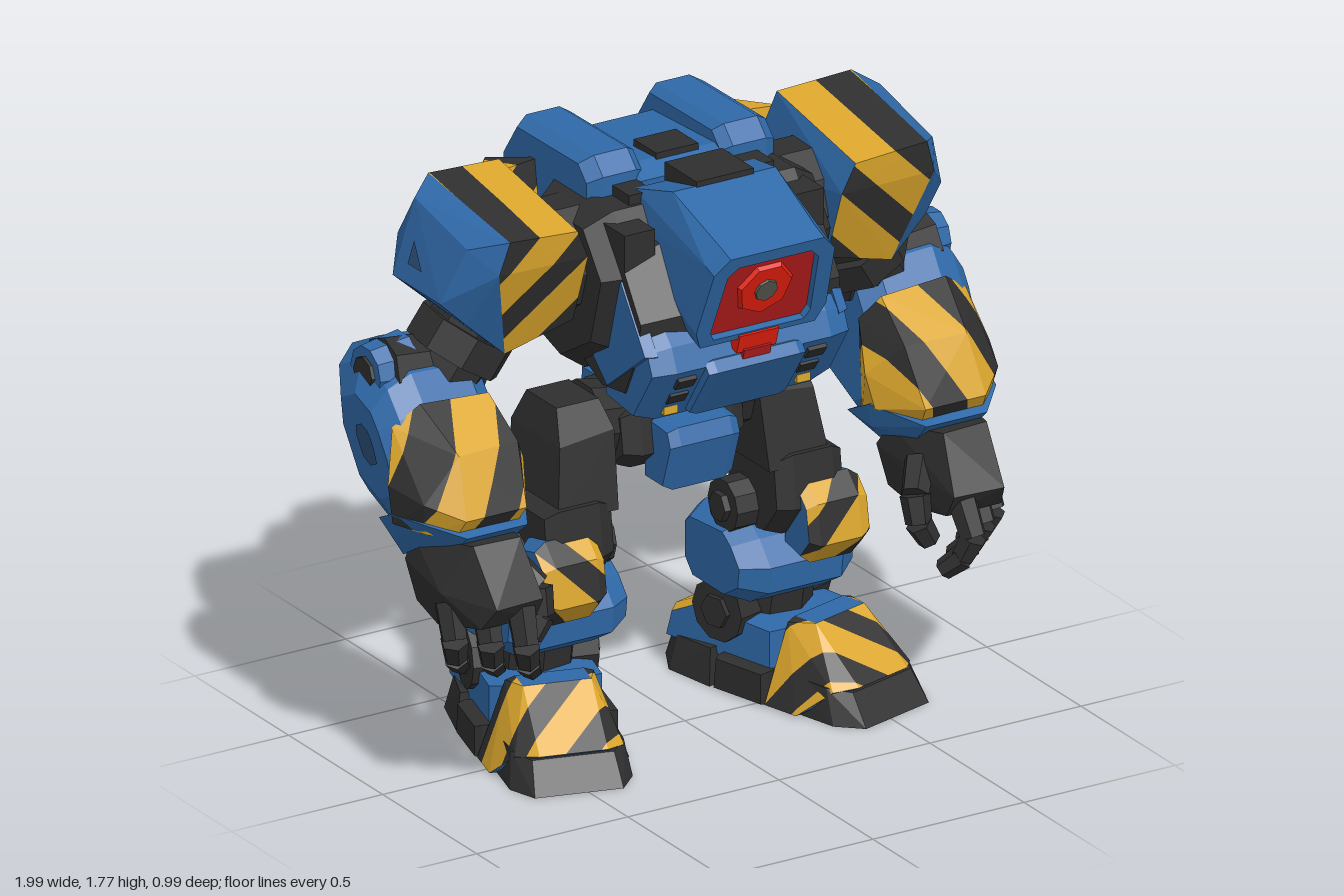
import * as THREE from 'three';
import { ConvexGeometry } from 'three/addons/geometries/ConvexGeometry.js';

const V = (x, y, z) => new THREE.Vector3(x, y, z);
const mat = (name, color) => Object.assign(new THREE.MeshStandardMaterial({ color }), { name });

// Hull of a [z, y] profile repeated at [x, scale] stations, scaled about its centre
function slab(profile, stations, s = 1, tilt = 0) {
  const n = profile.length;
  const cz = profile.reduce((a, p) => a + p[0], 0) / n, cy = profile.reduce((a, p) => a + p[1], 0) / n;
  const pts = [];
  for (const [x, k] of stations) for (const [z, y] of profile) {
    const dy = (y - cy) * k;
    pts.push(V(s * (x + tilt * dy), cy + dy, cz + (z - cz) * k));
  }
  return new ConvexGeometry(pts);
}
const wide = (w, e, k) => [[-w, k], [-w + e, 1], [w - e, 1], [w, k]];
const both = (pts) => new ConvexGeometry([-1, 1].flatMap((k) => pts.map(([x, y, z]) => V(k * x, y, z))));

function flat(geo) {
  const g = geo.toNonIndexed();
  g.computeVertexNormals();
  return g;
}

// Faceted rod between two points
function rod(a, b, r1, r2 = r1, sides = 8) {
  const d = b.clone().sub(a);
  const g = new THREE.CylinderGeometry(r2, r1, d.length(), sides);
  g.applyQuaternion(new THREE.Quaternion().setFromUnitVectors(V(0, 1, 0), d.normalize()));
  const m = a.clone().add(b).multiplyScalar(0.5);
  return flat(g.translate(m.x, m.y, m.z));
}

const tris = (geo) => {
  const p = geo.attributes.position, out = [];
  for (let i = 0; i < p.count; i += 3) out.push([0, 1, 2].map((j) => V().fromBufferAttribute(p, i + j)));
  return out;
};
const normalOf = ([a, b, c]) => b.clone().sub(a).cross(c.clone().sub(a)).normalize();

// Keep the part of a polygon where f >= 0
function clip(poly, f) {
  const out = [];
  poly.forEach((a, i) => {
    const b = poly[(i + 1) % poly.length], fa = f(a), fb = f(b);
    if (fa >= 0) out.push(a);
    if (fa * fb < 0) out.push(a.clone().lerp(b, fa / (fa - fb)));
  });
  return out;
}

// Cut chosen faces into alternating hazard bands; groups are base, wide band, narrow band
function hazard(geo, test, dir, period, phase = 0) {
  const sets = [[], [], []];
  for (const t of tris(geo)) {
    if (!test(normalOf(t))) { sets[0].push(...t); continue; }
    const f = (p) => p.dot(dir) / period + phase;
    const v = t.map(f);
    for (let k = Math.floor(Math.min(...v)); k <= Math.max(...v); k++) {
      [[k, k + 0.56], [k + 0.56, k + 1]].forEach(([lo, hi], band) => {
        const poly = clip(clip(t, (p) => f(p) - lo), (p) => hi - f(p));
        for (let i = 2; i < poly.length; i++) sets[1 + band].push(poly[0], poly[i - 1], poly[i]);
      });
    }
  }
  const g = new THREE.BufferGeometry().setFromPoints(sets.flat());
  let start = 0;
  sets.forEach((q, i) => { g.addGroup(start, q.length, i); start += q.length; });
  g.computeVertexNormals();
  return g;
}

// Inset copy of the hull face that best faces dir, lifted slightly
function panel(geo, dir, k) {
  const all = tris(geo), d = dir.clone().normalize();
  const n = all.map(normalOf).reduce((a, b) => (b.dot(d) > a.dot(d) ? b : a));
  const pts = all.filter((t) => normalOf(t).dot(n) > 0.999).flat();
  const c = pts.reduce((a, p) => a.add(p), V(0, 0, 0)).divideScalar(pts.length);
  const g = new THREE.BufferGeometry().setFromPoints(
    pts.map((p) => p.clone().lerp(c, 1 - k).addScaledVector(n, 0.004)));
  g.computeVertexNormals();
  return g;
}

export function createModel() {
  const blue = mat('blue armour', 0x2f69a8), yellow = mat('hazard yellow', 0xdba62c);
  const black = mat('black metal', 0x2f2f2f), navy = mat('dark blue patch', 0x2b4e75);
  const grey = mat('worn grey', 0x57584f), red = mat('bright red', 0xe8200f), maroon = mat('dark red glass', 0xb51d1d);
  const striped = [blue, yellow, black];
  const root = new THREE.Group();
  root.name = 'walkingRobot';
  let parent = root;
  const add = (name, geo, m) => {
    const mesh = new THREE.Mesh(geo, m);
    mesh.name = name;
    parent.add(mesh);
  };
  const box = (name, m, x, y, z, w, h, d, rx = 0) =>
    add(name, new THREE.BoxGeometry(w, h, d).rotateX(rx).translate(x, y, z), m);

  // Torso core, waist and pelvis
  add('torsoCore', slab([[0.22, 1.5], [0.15, 1.25], [-0.05, 1.13], [-0.28, 1.2], [-0.33, 1.5], [-0.2, 1.66], [0.1, 1.66]], wide(0.38, 0.08, 0.8)), black);
  add('chestCore', slab([[0.31, 1.3], [0.32, 1.4], [0.2, 1.58], [0, 1.62], [-0.05, 1.16], [0.08, 1.1], [0.22, 1.12]], wide(0.33, 0.14, 0.85)), black);
  add('waist', rod(V(0, 0.95, -0.12), V(0, 1.16, -0.08), 0.13, 0.17, 10), black);
  add('waistRing', rod(V(0, 1.02, -0.12), V(0, 1.07, -0.11), 0.17, 0.17, 12), black);
  add('pelvis', slab([[0, 0.98], [0.02, 0.85], [-0.05, 0.79], [-0.25, 0.79], [-0.29, 0.98]], wide(0.2, 0.05, 0.8)), black);
  add('pelvisFront', slab([[0.1, 0.95], [0.12, 0.9], [0.07, 0.75], [-0.04, 0.75], [-0.04, 0.96]], wide(0.115, 0.03, 0.85)), blue);
  add('pelvisRear', slab([[-0.26, 1.0], [-0.26, 0.78], [-0.34, 0.77], [-0.37, 0.83], [-0.36, 1.0]], wide(0.12, 0.03, 0.85)), blue);

  // Back shell
  const spine = slab([[0.02, 1.69], [-0.05, 1.72], [-0.38, 1.7], [-0.43, 1.62], [-0.43, 1.35], [-0.35, 1.17], [0, 1.25]], wide(0.17, 0.02, 0.95));
  add('backShell', spine, blue);
  add('backPatch', panel(spine, V(0, 0, -1), 0.45), navy);
  add('backPatchLow', panel(spine, V(0, -0.4, -1), 0.5), navy);
  box('topHatch', black, 0, 1.72, -0.1, 0.14, 0.03, 0.12);
  box('collarHatch', black, 0, 1.715, 0.13, 0.19, 0.06, 0.17);

  // Cockpit hood: frame, body and red eye, all tilted forward
  const hood = new THREE.Group();
  hood.name = 'cockpitFrame';
  hood.position.set(0, 1.47, 0.44);
  hood.rotation.x = 0.345;
  root.add(hood);
  const rim = [[-0.19, -0.16], [0.19, -0.16], [0.215, -0.1], [0.2, 0.11], [0.155, 0.16], [-0.155, 0.16], [-0.2, 0.11], [-0.215, -0.1]];
  const hole = [[-0.15, -0.14], [-0.165, -0.11], [-0.15, 0.09], [-0.12, 0.12], [0.12, 0.12], [0.15, 0.09], [0.165, -0.11], [0.15, -0.14]];
  const toV2 = (a) => a.map((p) => new THREE.Vector2(...p));
  const frame = new THREE.Shape(toV2(rim));
  frame.holes.push(new THREE.Path(toV2(hole)));
  parent = hood;
  add('windowFrame', new THREE.ExtrudeGeometry(frame, { depth: 0.05, bevelEnabled: false }).translate(0, 0, -0.05), blue);
  add('window', new THREE.ShapeGeometry(new THREE.Shape(toV2(hole))).translate(0, 0, -0.022), maroon);
  add('lensRing', rod(V(0, 0, -0.04), V(0, 0, -0.01), 0.105, 0.085, 7), red);
  add('lens', rod(V(0, 0, -0.03), V(0, 0, -0.003), 0.042, 0.036, 8), grey);
  parent = root;
  hood.updateMatrix();
  const hoodPts = rim.map(([x, y]) => V(x, y, -0.048).applyMatrix4(hood.matrix));
  for (const x of [-1, 1]) hoodPts.push(V(x * 0.17, 1.73, 0.21), V(x * 0.2, 1.69, 0.05), V(x * 0.21, 1.6, 0.04), V(x * 0.2, 1.46, 0.15));
  add('cockpitHood', new ConvexGeometry(hoodPts), blue);

  // Jaw below the cockpit
  add('jaw', slab([[0.37, 1.25], [0.34, 1.32], [0.26, 1.4], [0.08, 1.24], [0.08, 1.09], [0.25, 1.07]], wide(0.325, 0.07, 0.85)), blue);
  add('jawPlate', slab([[0.395, 1.235], [0.37, 1.265], [0.2, 1.27], [0.2, 1.09], [0.28, 1.07]], wide(0.16, 0.025, 0.92)), blue);
  box('mouthNozzle', red, 0, 1.31, 0.365, 0.13, 0.06, 0.05, 0.3);
  box('mouthNozzleTip', maroon, 0, 1.27, 0.36, 0.09, 0.04, 0.05, 0.3);
  for (const s of [-1, 1]) {
    for (const [y, z] of [[1.21, 0.345], [1.15, 0.3]]) box('jawVent', black, s * 0.215, y, z, 0.06, 0.04, 0.02, 0.65);
    box('jawLamp', yellow, s * 0.22, 1.1, 0.27, 0.045, 0.025, 0.02);
    box('chestRib', black, s * 0.28, 1.53, 0.13, 0.1, 0.2, 0.16);
    box('collarPipe', black, s * 0.2, 1.66, 0.04, 0.08, 0.06, 0.1);
    // Slanted cheek plate on the flank
    add('cheekPlate', slab([[0.34, 1.3], [0.2, 1.5], [0.14, 1.46], [0.04, 1.2], [0.12, 1.13]], [[0.3, 1], [0.335, 0.92]], s), blue);
  }

  for (const s of [1, -1]) {
    const side = s > 0 ? 'left' : 'right';
    const P = (x, y, z) => V(s * x, y, z);
    const hull = (pts) => new ConvexGeometry(pts.map((p) => P(...p)));
    const group = (name) => {
      parent = new THREE.Group();
      parent.name = side + name;
      root.add(parent);
    };

    // Side back shells
    group('Back');
    const shell = slab([[0, 1.72], [-0.05, 1.77], [-0.41, 1.765], [-0.49, 1.65], [-0.49, 1.5], [-0.43, 1.26], [-0.36, 1.2], [-0.1, 1.3], [0, 1.6]],
      [[0.13, 0.92], [0.16, 1], [0.27, 1], [0.31, 0.9]], s);
    add('sideShell', shell, blue);
    add('sideShellPatch', panel(shell, V(0, -0.2, -1), 0.5), navy);

    // Shoulder with striped pad
    group('Shoulder');
    add('shoulderJoint', rod(P(0.3, 1.48, -0.08), P(0.48, 1.48, -0.08), 0.17, 0.17, 10), black);
    const rear = hull([[0.29, 1.68, -0.3], [0.29, 1.62, -0.46], [0.29, 1.36, -0.42], [0.29, 1.34, -0.25], [0.4, 1.66, -0.42], [0.4, 1.58, -0.465],
      [0.4, 1.4, -0.43], [0.5, 1.66, -0.3], [0.5, 1.55, -0.39], [0.49, 1.38, -0.3], [0.46, 1.34, -0.25]]);
    add('shoulderRear', hazard(rear, (n) => s * n.x < 0.5 && n.y > -0.3, P(1, 1, 0.3).normalize(), 0.2, 0.25), striped);
    add('shoulderRearPatch', panel(rear, P(1, 0, -0.5), 0.5), navy);
    const pad = hull([[0.46, 1.66, 0.17], [0.42, 1.57, 0.16], [0.42, 1.35, 0.08], [0.42, 1.34, -0.24], [0.42, 1.5, -0.33], [0.46, 1.73, -0.25],
      [0.7, 1.745, -0.24], [0.69, 1.68, 0.18], [0.72, 1.58, 0.17], [0.64, 1.29, 0.07], [0.64, 1.3, -0.22], [0.69, 1.52, -0.34],
      [0.77, 1.7, -0.2], [0.77, 1.64, 0.08], [0.83, 1.47, 0.03], [0.83, 1.47, -0.22], [0.76, 1.4, 0.06], [0.77, 1.56, -0.29]]);
    add('shoulderPad', hazard(pad, (n) => s * n.x < 0.4 && s * n.x > -0.9 && n.y > -0.6, P(1, 1, 0.15).normalize(), 0.19, 0.1), striped);
    add('shoulderPatch', panel(pad, P(1, 0.2, 0), 0.3), navy);

    // Arm: blue body behind a striped gauntlet with a blue cuff
    group('Arm');
    add('upperArm', rod(P(0.56, 1.42, -0.12), P(0.76, 1.1, -0.16), 0.13, 0.11), black);
    add('upperArmRing', rod(P(0.63, 1.3, -0.14), P(0.68, 1.22, -0.15), 0.15, 0.15), black);
    add('elbowAxle', rod(P(0.6, 1.18, -0.17), P(0.9, 1.21, -0.17), 0.1), black);
    const forearm = slab([[-0.07, 1.23], [-0.23, 1.29], [-0.385, 1.21], [-0.375, 1.05], [-0.23, 0.79], [-0.03, 0.71], [0.14, 0.8], [0.08, 1.0], [0, 1.14]],
      [[0.61, 0.65], [0.67, 0.95], [0.85, 1], [0.925, 0.82], [0.975, 0.5]], s, 0.06);
    add('forearm', forearm, blue);
    add('forearmRearPanel', panel(forearm, V(0, -0.5, -1), 0.8), grey);
    add('forearmUpperPanel', panel(forearm, V(0, 0, -1), 0.6), navy);
    add('forearmOuterPatch', panel(forearm, P(1, 0, 0), 0.4), navy);
    add('forearmLowPatch', panel(forearm, P(0.6, -0.5, -0.6), 0.6), grey);
    const gauntlet = hull([[0.65, 1.15, 0], [0.87, 1.16, -0.01], [0.64, 1.05, 0.14], [0.84, 1.05, 0.15], [0.66, 0.88, 0.22], [0.86, 0.88, 0.22],
      [0.67, 0.82, 0.18], [0.87, 0.82, 0.18], [0.565, 0.95, 0.05], [0.58, 0.85, 0.08], [0.6, 0.8, -0.02], [0.6, 1.08, -0.04],
      [0.995, 0.95, 0.02], [0.95, 0.92, 0.14], [0.98, 0.83, 0.02], [0.93, 0.82, 0.12], [0.95, 1.1, -0.03]]);
    add('gauntlet', hazard(gauntlet, (n) => n.y > -0.6 && n.z > -0.4, P(1, 0.5, -0.15).normalize(), 0.23, 0.35), striped);
    add('wristCuff', hull([[0.66, 0.83, 0.225], [0.86, 0.83, 0.225], [0.67, 0.77, 0.16], [0.86, 0.77, 0.16], [0.66, 0.71, -0.02], [0.92, 0.71, -0.02],
      [0.57, 0.86, 0.06], [0.59, 0.78, 0.04], [0.6, 0.78, -0.1], [0.985, 0.86, 0.02], [0.95, 0.86, 0.13], [0.95, 0.77, 0], [0.95, 0.8, -0.1]]), blue);
    add('elbowCap', rod(P(0.82, 1.21, -0.18), P(0.945, 1.21, -0.18), 0.1, 0.08, 10), blue);
    add('elbowBolt', rod(P(0.92, 1.21, -0.18), P(0.955, 1.21, -0.18), 0.055, 0.05, 8), black);

    // Hand
    group('Hand');
    add('palm', hull([[0.65, 0.78, 0.05], [0.91, 0.78, 0.02], [0.64, 0.7, -0.01], [0.92, 0.7, -0.01], [0.66, 0.58, 0.02], [0.9, 0.58, 0.02], [0.7, 0.81, 0.25],
      [0.85, 0.81, 0.24], [0.68, 0.65, 0.34], [0.84, 0.65, 0.35], [0.68, 0.58, 0.3], [0.86, 0.58, 0.3], [0.92, 0.66, 0.18], [0.7, 0.53, 0.1], [0.88, 0.53, 0.1]]), black);
    const digit = (name, pts, r) => pts.slice(1).forEach((p, i) => add(name, rod(pts[i], p, r - i * 0.004, r - 0.006 - i * 0.004, 6), black));
    for (let i = 0; i < 3; i++) {
      const x = 0.73 + 0.075 * i, z = 0.32 - 0.07 * i;
      digit('finger', [P(x, 0.62, z - 0.02), P(x + 0.01, 0.52, z + 0.025), P(x - 0.01, 0.455, z), P(x - 0.05, 0.41, z - 0.04)], 0.045);
    }
    digit('thumb', [P(0.68, 0.7, 0.16), P(0.625, 0.63, 0.22), P(0.625, 0.55, 0.24), P(0.66, 0.49, 0.24)], 0.048);

    // Leg
    group('Leg');
    add('hipJoint', rod(P(0.08, 0.91, -0.14), P(0.27, 0.93, -0.13), 0.1, 0.12, 10), black);
    add('thigh', hull([-1, 1].flatMap((k) => [[0.26, 1.03, -0.12 + k * 0.08], [0.4, 1.03, -0.12 + k * 0.08], [0.24, 0.95, -0.12 + k * 0.13], [0.42, 0.93, -0.12 + k * 0.13],
      [0.25, 0.72, -0.08 + k * 0.13], [0.45, 0.72, -0.08 + k * 0.13]])), black);
    add('lowerThigh', slab([[0.06, 0.76], [0.08, 0.6], [0, 0.5], [-0.16, 0.48], [-0.23, 0.56], [-0.21, 0.76]], [[0.27, 0.85], [0.32, 1], [0.45, 1], [0.49, 0.85]], s), black);
    add('kneeAxle', rod(P(0.2, 0.57, -0.12), P(0.515, 0.57, -0.12), 0.08, 0.085, 10), black);
    add('kneeBolt', rod(P(0.18, 0.57, -0.12), P(0.53, 0.57, -0.12), 0.045, 0.045, 6), black);
    const knee = slab([[0.12, 0.62], [0.14, 0.5], [0.08, 0.43], [-0.02, 0.45], [-0.03, 0.66], [0.06, 0.68]], [[0.335, 0.8], [0.365, 1], [0.5, 1], [0.535, 0.8]], s);
    add('kneePad', hazard(knee, (n) => n.z > 0.6, P(1, -1, 0).normalize(), 0.17, 0.5), striped);
    add('calf', rod(P(0.4, 0.56, -0.13), P(0.39, 0.18, -0.2), 0.12, 0.13), black);
    const shin = slab([[0.04, 0.42], [-0.02, 0.49], [-0.08, 0.53], [-0.31, 0.51], [-0.345, 0.48], [-0.345, 0.34], [-0.29, 0.28], [-0.07, 0.28], [0.03, 0.34]],
      [[0.185, 0.75], [0.26, 1], [0.5, 1], [0.57, 0.7]], s);
    add('shinArmour', shin, blue);
    add('shinRearPanel', panel(shin, V(0, 0, -1), 0.75), grey);

    // Foot, toed out
    group('Foot');
    parent.position.set(s * 0.42, 0, -0.1);
    parent.rotation.y = s * 0.27;
    add('toeSole', both([[0.13, 0, 0.4], [0.18, 0, 0.32], [0.18, 0, 0.1], [0.12, 0.09, 0.34], [0.165, 0.1, 0.28], [0.17, 0.11, 0.1]]), black);
    const cap = both([[0.1, 0.1, 0.345], [0.16, 0.09, 0.3], [0.1, 0.25, 0.18], [0.13, 0.24, 0.1], [0.1, 0.25, 0.1], [0.205, 0.005, 0.08], [0.205, 0.005, 0.2]]);
    add('toeArmour', hazard(cap, (n) => n.y < 0.98 && n.y > -0.5 && n.z > -0.7, P(1, 0.4, -1).normalize(), 0.16, 0.2), striped);
    add('midSole', slab([[0.08, 0], [0.08, 0.1], [-0.11, 0.1], [-0.12, 0]], wide(0.21, 0.02, 0.9)), black);
    add('heelSole', both([[0.205, 0, -0.13], [0.19, 0, -0.3], [0.11, 0, -0.385], [0.19, 0.11, -0.14], [0.165, 0.1, -0.29], [0.1, 0.09, -0.36]]), black);
    const heel = slab([[-0.365, 0.08], [-0.34, 0.17], [-0.22, 0.23], [0.1, 0.22], [0.1, 0.07]], wide(0.165, 0.05, 0.85));
    add('heelArmour', hazard(heel, (n) => n.z < -0.35, P(1, 1, 0).normalize(), 0.4, 0), striped);
    add('ankleAxle', rod(V(-0.185, 0.23, -0.12), V(0.185, 0.23, -0.12), 0.095, 0.095, 10), black);
    add('ankleBolt', rod(V(-0.2, 0.23, -0.12), V(0.2, 0.23, -0.12), 0.05, 0.05, 6), black);
  }
  return root;
}
